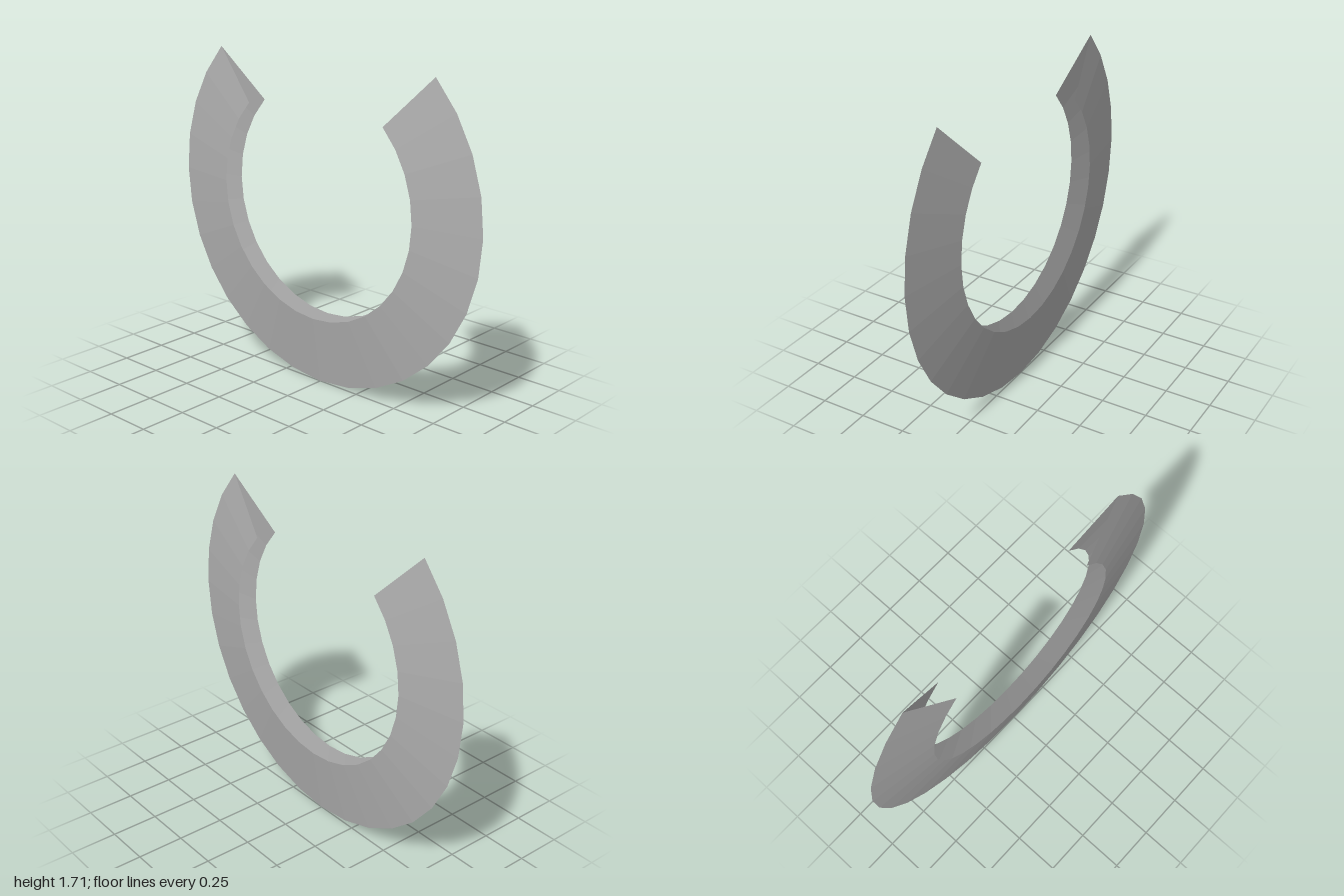
import * as THREE from 'three';

export function createModel() {
  const group = new THREE.Group();
  const grey = new THREE.MeshStandardMaterial({ color: 0xb0b0b0, flatShading: true, side: THREE.DoubleSide });
  grey.name = 'grey';

  // V-shaped profile: sharp outer rim, open towards the middle and at both ends
  const inner = 0.632, halfDepth = 0.057;
  const profile = [
    new THREE.Vector2(inner, -halfDepth),
    new THREE.Vector2(1, 0),
    new THREE.Vector2(inner, halfDepth),
  ];

  // Three quarters of a 32-sided ring, with the gap at the top
  const geometry = new THREE.LatheGeometry(profile, 24, -Math.PI * 0.75, Math.PI * 1.5);
  geometry.rotateX(Math.PI / 2);
  geometry.translate(0, 1, 0);

  const ring = new THREE.Mesh(geometry, grey);
  ring.name = 'openRing';
  group.add(ring);
  return group;
}
